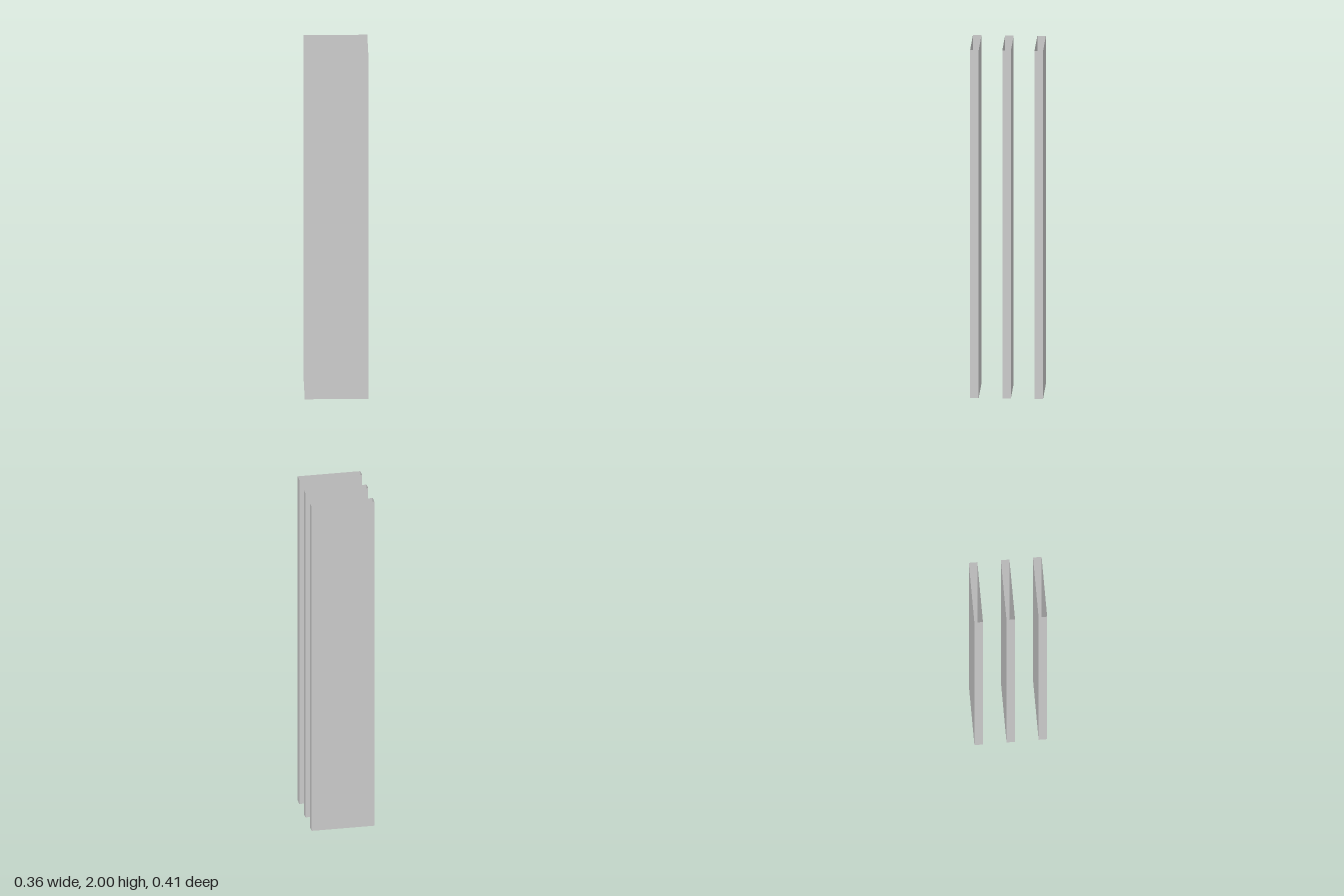
import * as THREE from 'three';

const WIDTH = 0.357, HEIGHT = 2, THICKNESS = 0.048, SPACING = 0.18;

// Box shell without its top and bottom faces
function openBox(width, height, depth) {
  const geometry = new THREE.BoxGeometry(width, height, depth);
  const index = Array.from(geometry.index.array);
  index.splice(12, 12); // the +y and -y faces
  geometry.setIndex(index);
  geometry.clearGroups();
  return geometry;
}

export function createModel() {
  const model = new THREE.Group();
  model.name = 'slats';
  const material = new THREE.MeshStandardMaterial({ color: 0xcccccc, side: THREE.DoubleSide });
  const geometry = openBox(WIDTH, HEIGHT, THICKNESS);

  // Three parallel upright slats, front to back
  ['frontSlat', 'middleSlat', 'backSlat'].forEach((name, i) => {
    const slat = new THREE.Mesh(geometry, material);
    slat.name = name;
    slat.position.set(0, HEIGHT / 2, (1 - i) * SPACING);
    model.add(slat);
  });
  return model;
}
